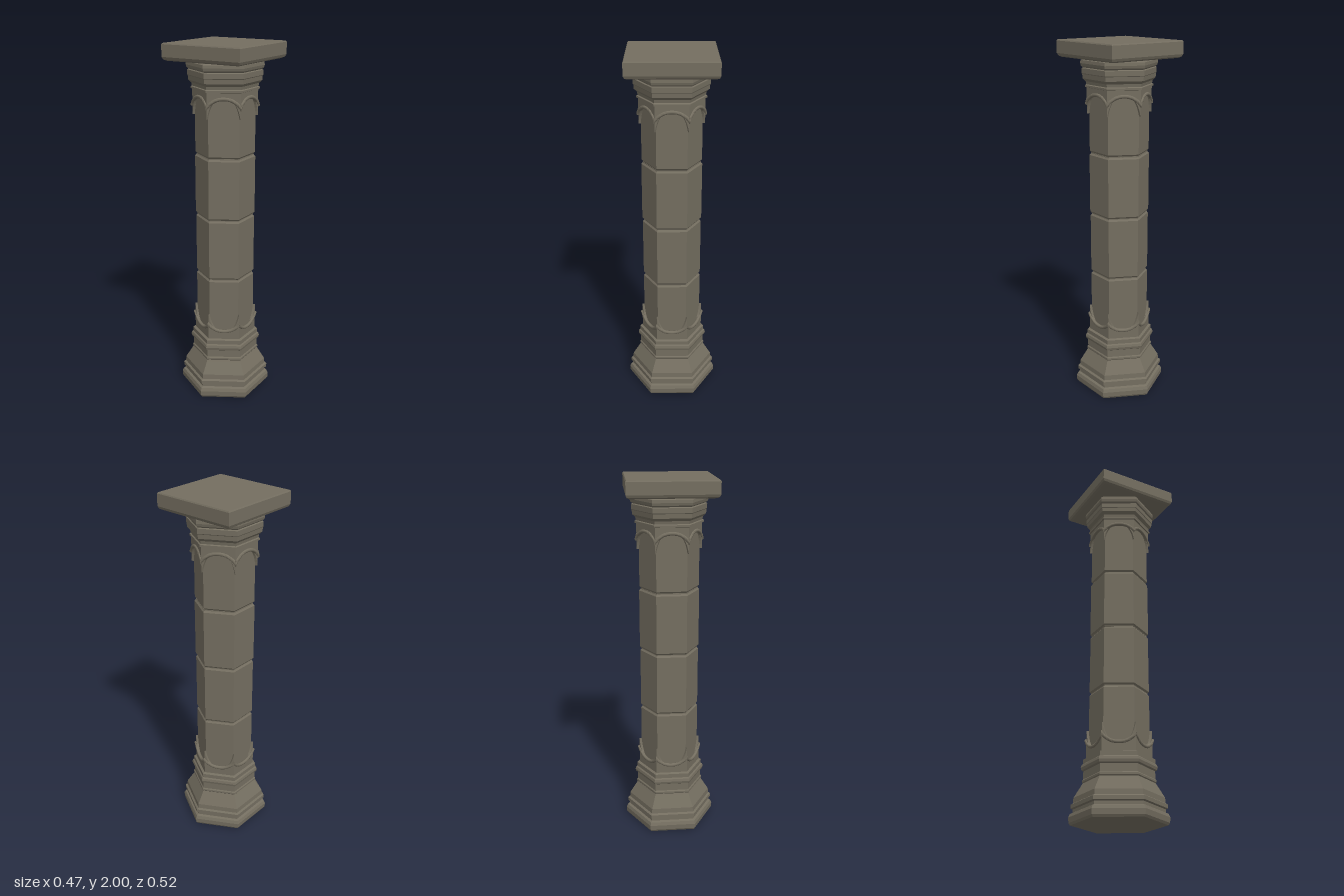
import * as THREE from 'three';
import { toCreasedNormals } from 'three/addons/utils/BufferGeometryUtils.js';

const TAN30 = Math.tan(Math.PI / 6);
const APOTHEM = 0.141; // centre of the shaft to the middle of a face

export function createModel() {
  const column = new THREE.Group();
  column.name = 'column';
  const stone = new THREE.MeshStandardMaterial({ color: 0x746e60 });
  stone.name = 'stone';

  const add = (parent, name, geometry) => {
    const mesh = new THREE.Mesh(geometry, stone);
    mesh.name = name;
    parent.add(mesh);
    return mesh;
  };

  // Sharp-edged prism from a [radius, height] profile
  const prism = (profile, sides = 6, start = 0) => {
    const points = profile.map(([r, y]) => new THREE.Vector2(r, y));
    const g = new THREE.LatheGeometry(points, sides, start).toNonIndexed();
    g.computeVertexNormals();
    return g;
  };

  // Stepped, moulded foot
  add(column, 'base', prism([
    [0, 0], [0.25, 0], [0.258, 0.012], [0.26, 0.04], [0.252, 0.058], [0.238, 0.064],
    [0.238, 0.08], [0.25, 0.085], [0.25, 0.105], [0.238, 0.112], [0.236, 0.14],
    [0.196, 0.205], [0.19, 0.215], [0.194, 0.22], [0.194, 0.23], [0.188, 0.236],
    [0.188, 0.278], [0.198, 0.284], [0.202, 0.298], [0.198, 0.312], [0.19, 0.318],
    [0.19, 0.342], [0.174, 0.348], [0.172, 0.37], [0, 0.37],
  ]));

  // Four shaft drums with bevelled joints
  const joints = [0.35, 0.71, 1.06, 1.405, 1.77];
  for (let i = 0; i < 4; i++) {
    const a = joints[i], b = joints[i + 1];
    const r = i === 2 ? 0.165 : 0.163;
    add(column, 'shaftDrum', prism([
      [0, a], [r - 0.008, a], [r - 0.008, a + 0.003], [r, a + 0.012],
      [r, b - 0.012], [r - 0.008, b - 0.003], [r - 0.008, b], [0, b],
    ]));
  }

  // Flaring capital
  add(column, 'capital', prism([
    [0, 1.745], [0.172, 1.745], [0.174, 1.757], [0.184, 1.76], [0.184, 1.77],
    [0.177, 1.774], [0.18, 1.79], [0.196, 1.805], [0.198, 1.828], [0.201, 1.832],
    [0.201, 1.858], [0.194, 1.862], [0.204, 1.87], [0.208, 1.884], [0.206, 1.9],
    [0.196, 1.906], [0.196, 1.915], [0, 1.915],
  ]));

  // Square slab on top
  const q = Math.SQRT2;
  add(column, 'abacus', prism([
    [0, 1.91], [0.217 * q, 1.91], [0.23 * q, 1.917], [0.236 * q, 1.93],
    [0.236 * q, 1.994], [0.232 * q, 2], [0, 2],
  ], 4, Math.PI / 4));

  // Mitre a face-mounted piece so neighbours meet on the hexagon's corners
  const mitre = (g, rule) => {
    const p = g.attributes.position;
    for (let i = 0; i < p.count; i++) p.setX(i, rule(p.getX(i), p.getZ(i)));
    g.computeVertexNormals();
    return g;
  };

  // Scalloped plate that rises to a spike at each corner
  const w = APOTHEM * TAN30;
  const outline = new THREE.Shape();
  outline.moveTo(-w, 0.345);
  outline.lineTo(w, 0.345);
  outline.lineTo(w, 0.5);
  outline.quadraticCurveTo(w * 0.78, 0.388, 0, 0.388);
  outline.quadraticCurveTo(-w * 0.78, 0.388, -w, 0.5);
  const plate = new THREE.ExtrudeGeometry(outline, { depth: 0.011, bevelEnabled: false, curveSegments: 10 });
  plate.translate(0, 0, APOTHEM);
  mitre(plate, (x, z) => x * z / APOTHEM);

  // Round moulding following the scallop
  const wave = [-1.12, -1, -0.8, -0.45, 0, 0.45, 0.8, 1, 1.12].map((t) =>
    new THREE.Vector3(t * 0.087, 0.394 + 0.042 * Math.pow(Math.abs(t), 2.4), 0.15));
  const bead = toCreasedNormals(mitre(
    new THREE.TubeGeometry(new THREE.CatmullRomCurve3(wave), 28, 0.01, 8),
    (x, z) => THREE.MathUtils.clamp(x, -z * TAN30, z * TAN30)), 0.9);

  const makeCollar = (name) => {
    const collar = new THREE.Group();
    collar.name = name;
    for (let i = 0; i < 6; i++) {
      const angle = Math.PI / 6 + i * Math.PI / 3;
      add(collar, 'scallopPlate', plate).rotation.y = angle;
      add(collar, 'scallopMoulding', bead).rotation.y = angle;
    }
    column.add(collar);
    return collar;
  };
  makeCollar('lowerCollar');
  const upper = makeCollar('upperCollar');
  upper.rotation.z = Math.PI;
  upper.position.y = 2.12;

  return column;
}
